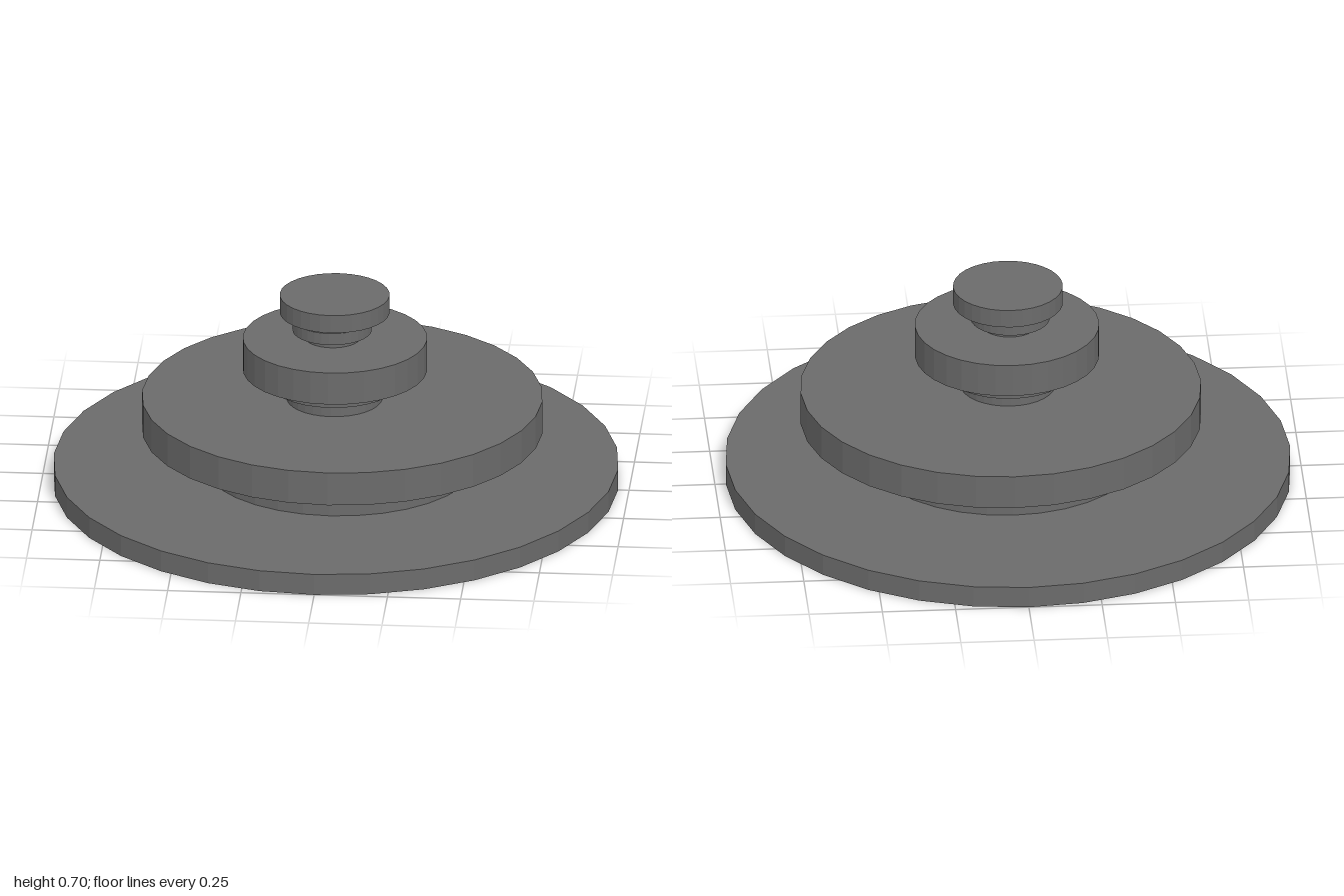
import * as THREE from 'three';

// name, bottom y, top y, radius x, radius z, centre x, centre z
const TIERS = [
  ['basePlate', 0, 0.075, 0.963, 1, 0, 0],
  ['lowerStep', 0.075, 0.14, 0.466, 0.466, 0.013, 0.014],
  ['lowerNeck', 0.14, 0.208, 0.28, 0.28, 0.015, 0.021],
  ['wideDisc', 0.208, 0.327, 0.683, 0.683, 0.023, 0.022],
  ['middleNeck', 0.327, 0.382, 0.163, 0.168, -0.002, 0.04],
  ['middleStep', 0.382, 0.436, 0.22, 0.222, -0.003, 0.04],
  ['middleDisc', 0.436, 0.552, 0.314, 0.315, 0, 0.047],
  ['upperNeck', 0.552, 0.578, 0.095, 0.096, -0.008, 0.043],
  ['collar', 0.578, 0.62, 0.135, 0.135, -0.01, 0.042],
  ['topNeck', 0.62, 0.641, 0.095, 0.096, -0.008, 0.043],
  ['topDisc', 0.641, 0.705, 0.187, 0.188, -0.002, 0.033],
];

export function createModel() {
  const model = new THREE.Group();
  const material = new THREE.MeshStandardMaterial({ color: 0x6b6b6b, flatShading: true });

  // Stack of slightly off-centre discs
  for (const [name, bottom, top, rx, rz, cx, cz] of TIERS) {
    const geometry = new THREE.CylinderGeometry(1, 1, top - bottom, 32);
    geometry.scale(rx, 1, rz);
    const disc = new THREE.Mesh(geometry, material);
    disc.name = name;
    disc.position.set(cx, (bottom + top) / 2, cz);
    model.add(disc);
  }
  return model;
}
